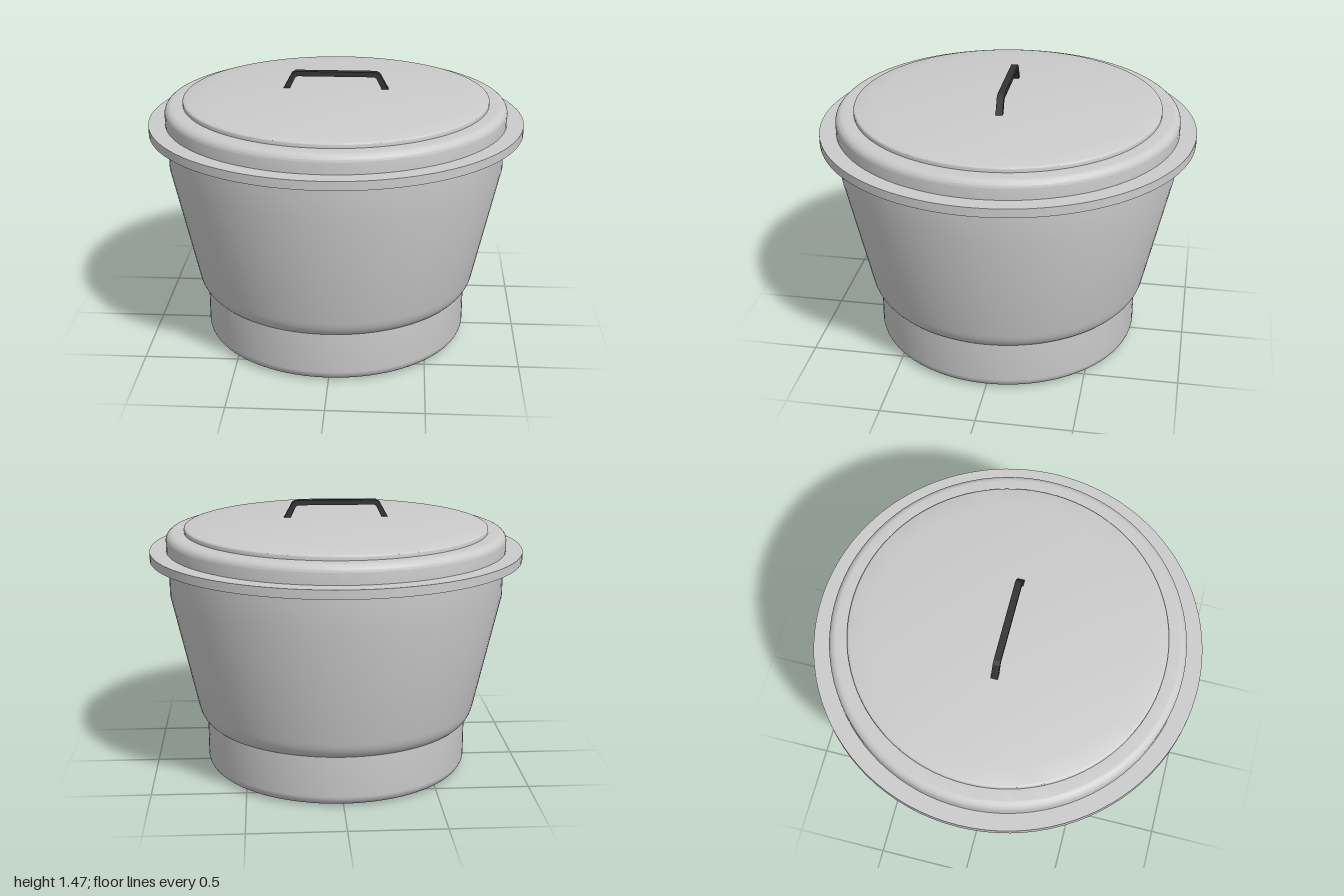
import * as THREE from 'three';
import { toCreasedNormals } from 'three/addons/utils/BufferGeometryUtils.js';

const grey = new THREE.MeshStandardMaterial({ color: 0xcccccc });
const dark = new THREE.MeshStandardMaterial({ color: 0x333333 });

// Revolves a profile drawn from the bottom up; smooth fillets, sharp corners.
function turned(name, path) {
  const geometry = toCreasedNormals(new THREE.LatheGeometry(path.getPoints(8), 96), 0.5);
  const mesh = new THREE.Mesh(geometry, grey);
  mesh.name = name;
  return mesh;
}

export function createModel() {
  const model = new THREE.Group();
  model.name = 'liddedPot';

  // Cylindrical foot with a rounded bottom edge
  const foot = new THREE.Path().moveTo(0, 0).lineTo(0.655, 0);
  foot.absarc(0.655, 0.06, 0.06, -Math.PI / 2, 0, false);
  foot.lineTo(0.715, 0.28);
  model.add(turned('foot', foot));

  // Flaring bowl with a straight upper band
  const bowl = new THREE.Path().moveTo(0.715, 0.275);
  bowl.quadraticCurveTo(0.75, 0.3, 0.763, 0.36);
  bowl.lineTo(0.9, 0.98).lineTo(0.9, 1.175);
  model.add(turned('bowl', bowl));

  // Flat flange
  const rim = new THREE.Path().moveTo(0.9, 1.17);
  rim.lineTo(1, 1.17).lineTo(1, 1.217).lineTo(0.9, 1.217);
  model.add(turned('rim', rim));

  // Lid: rounded shoulder, small step and shallow dome
  const lid = new THREE.Path().moveTo(0.912, 1.215).lineTo(0.912, 1.272);
  lid.absarc(0.87, 1.272, 0.042, 0, Math.PI / 2, false);
  lid.lineTo(0.815, 1.314).lineTo(0.815, 1.33);
  lid.quadraticCurveTo(0.815, 1.338, 0.8, 1.341);
  lid.quadraticCurveTo(0.4, 1.382, 0, 1.382);
  model.add(turned('lid', lid));

  // Bent bar handle, mirrored about the centre
  const half = [[0.285, 1.365], [0.235, 1.457], [0.215, 1.469]];
  const inner = [[0.203, 1.443], [0.215, 1.436], [0.25, 1.365]];
  const mirror = (pts) => pts.map(([x, y]) => [-x, y]).reverse();
  const outline = [...half, ...mirror(half), ...mirror(inner), ...inner];
  const shape = new THREE.Shape(outline.map(([x, y]) => new THREE.Vector2(x, y)));
  const bar = new THREE.ExtrudeGeometry(shape, { depth: 0.036, bevelEnabled: false });
  bar.translate(0, 0, -0.018);
  const handle = new THREE.Mesh(bar, dark);
  handle.name = 'handle';
  model.add(handle);

  return model;
}
